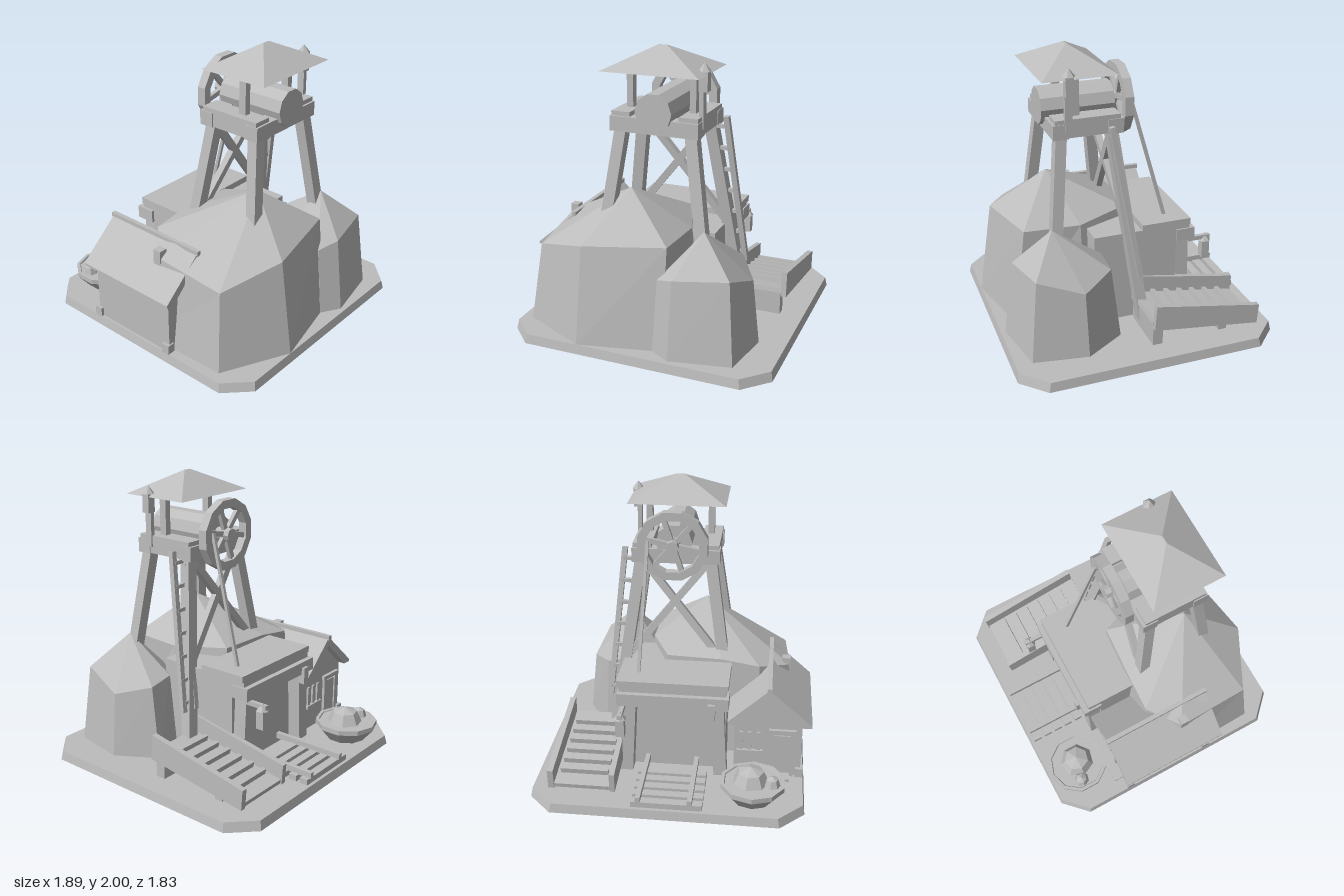
import * as THREE from 'three';

const stone = new THREE.MeshStandardMaterial({ color: 0xbcbcbc, flatShading: true });
stone.name = 'plain grey';

export function createModel() {
  const root = new THREE.Group();
  root.name = 'mineHeadframe';

  function add(name, geo, parent = root) {
    const m = new THREE.Mesh(geo, stone);
    m.name = name;
    parent.add(m);
    return m;
  }
  function group(name) {
    const g = new THREE.Group();
    g.name = name;
    root.add(g);
    return g;
  }
  // Box given by its limits on each axis
  function box(name, x0, x1, y0, y1, z0, z1, parent) {
    const m = add(name, new THREE.BoxGeometry(x1 - x0, y1 - y0, z1 - z0), parent);
    m.position.set((x0 + x1) / 2, (y0 + y1) / 2, (z0 + z1) / 2);
    return m;
  }
  // Timber between two points; its width w stays along x as far as possible
  function beam(name, a, b, w, h = w, parent) {
    const p = new THREE.Vector3(...a), q = new THREE.Vector3(...b);
    const m = add(name, new THREE.BoxGeometry(w, h, p.distanceTo(q)), parent);
    const dir = q.clone().sub(p).normalize();
    const side = new THREE.Vector3(1, 0, 0).addScaledVector(dir, -dir.x).normalize();
    const up = dir.clone().cross(side);
    m.quaternion.setFromRotationMatrix(new THREE.Matrix4().makeBasis(side, up, dir));
    m.position.copy(p).lerp(q, 0.5);
    return m;
  }
  // Walls between two rings (counterclockwise from above), closed by a fan to an apex
  function faceted(name, low, high, apex, floor = false) {
    const v = [], n = low.length;
    for (let i = 0; i < n; i++) {
      const j = (i + 1) % n;
      v.push(...low[i], ...low[j], ...high[j], ...low[i], ...high[j], ...high[i]);
      v.push(...high[i], ...high[j], ...apex);
      if (floor && i > 0 && i < n - 1) v.push(...low[0], ...low[j], ...low[i]);
    }
    const g = new THREE.BufferGeometry();
    g.setAttribute('position', new THREE.Float32BufferAttribute(v, 3));
    g.computeVertexNormals();
    return add(name, g);
  }
  // Outline in x and y, pushed along z
  function extrude(name, points, z, depth, parent) {
    const shape = new THREE.Shape(points.map(p => new THREE.Vector2(...p)));
    const m = add(name, new THREE.ExtrudeGeometry(shape, { depth, bevelEnabled: false }), parent);
    m.position.z = z;
    return m;
  }

  // Base slab with cut corners and a slight taper
  const ring = (e, y) => {
    const x0 = -0.916 + e, x1 = 0.947 - e, z0 = -0.915 + e, z1 = 0.915 - e, c = 0.165;
    return [[x0, y, z0 + c], [x0, y, z1 - c], [x0 + c, y, z1], [x1 - c, y, z1],
      [x1, y, z1 - c], [x1, y, z0 + c], [x1 - c, y, z0], [x0 + c, y, z0]];
  };
  faceted('base', ring(0, 0), ring(0.012, 0.065), [0.015, 0.065, 0], true);

  // Rock mounds
  faceted('largeRock',
    [[-0.83, 0.06, 0.675], [-0.365, 0.06, 0.903], [0.2, 0.06, 0.775], [0.3, 0.06, 0.3],
      [0.12, 0.06, -0.1], [-0.28, 0.06, -0.13], [-0.6, 0.06, -0.14], [-0.85, 0.06, 0.06]],
    [[-0.757, 0.62, 0.622], [-0.357, 0.735, 0.803], [0.205, 0.77, 0.695], [0.225, 0.765, 0.3],
      [0.08, 0.79, -0.065], [-0.3, 0.79, -0.09], [-0.57, 0.75, -0.096], [-0.785, 0.69, 0.08]],
    [-0.157, 1.05, 0.434]);
  faceted('smallRock',
    [[0.137, 0.06, 0.79], [0.275, 0.06, 0.872], [0.692, 0.06, 0.79],
      [0.752, 0.06, 0.415], [0.578, 0.06, 0.135], [0.38, 0.06, 0.145], [0.17, 0.06, 0.4]],
    [[0.152, 0.555, 0.735], [0.282, 0.6, 0.805], [0.645, 0.625, 0.735],
      [0.705, 0.515, 0.425], [0.565, 0.58, 0.2], [0.38, 0.61, 0.205], [0.205, 0.6, 0.42]],
    [0.408, 0.86, 0.557]);
  box('rockStump', -0.79, -0.73, 0.62, 0.74, 0.075, 0.135);

  // Headframe legs, cross braces and open platform frame
  const tower = group('tower');
  for (const s of [-1, 1]) {
    const top = 0.039 + s * 0.243, foot = 0.039 + s * 0.45;
    beam('frontLeg', [foot, 0.06, 0.6], [top, 1.47, 0.45], 0.08, 0.075, tower);
    beam('rearLeg', [foot, 0.06, -0.068], [top, 1.47, 0.102], 0.08, 0.075, tower);
    beam('crossBrace', [0.039 + s * 0.33, 0.75, 0.015], [0.039 - s * 0.23, 1.45, 0.09], 0.05, 0.045, tower);
    const bx = 0.037 + s * 0.235;
    box('drumBearer', bx - 0.065, bx + 0.065, 1.455, 1.58, 0.05, 0.495, tower);
    box('roofPost', 0.032 + s * 0.22 - 0.022, 0.032 + s * 0.22 + 0.022, 1.5, 1.87, 0.312, 0.365, tower);
  }
  for (const z of [0.03, 0.405]) box('platformBeam', -0.27, 0.342, 1.45, 1.55, z, z + 0.105, tower);

  // Hipped roof with a short ridge
  faceted('towerRoof',
    [[-0.303, 1.85, 0.583], [0.372, 1.85, 0.583], [0.372, 1.85, 0.073], [-0.303, 1.85, 0.073]],
    [[0.002, 2, 0.331], [0.062, 2, 0.331], [0.062, 2, 0.325], [0.002, 2, 0.325]], [0.032, 2, 0.328], true);

  // Winding drum, wheel and rope
  const winder = group('winder');
  winder.position.set(0.047, 1.6, 0.002);
  const drum = add('drum', new THREE.CylinderGeometry(0.127, 0.127, 0.505, 10).rotateY(Math.PI / 10), winder);
  drum.rotation.x = Math.PI / 2;
  drum.position.z = 0.282;
  const poly = (Kind, r) => {
    const p = new Kind();
    p.setFromPoints(Array.from({ length: 12 }, (_, i) => {
      const a = (i + 0.5) * Math.PI / 6;
      return new THREE.Vector2(r * Math.cos(a), r * Math.sin(a));
    }));
    p.closePath();
    return p;
  };
  const rimShape = poly(THREE.Shape, 0.247);
  rimShape.holes.push(poly(THREE.Path, 0.188));
  add('wheelRim', new THREE.ExtrudeGeometry(rimShape, { depth: 0.062, bevelEnabled: false }), winder).position.z = -0.062;
  for (let i = 0; i < 3; i++) {
    const spoke = add('wheelSpoke', new THREE.BoxGeometry(0.4, 0.035, 0.03), winder);
    spoke.position.z = -0.03;
    spoke.rotation.z = i * Math.PI / 3 + 0.2;
  }
  const hub = add('wheelHub', new THREE.CylinderGeometry(0.045, 0.045, 0.145, 8), winder);
  hub.rotation.x = Math.PI / 2;
  hub.position.z = -0.013;
  beam('rope', [0.215, 1.64, -0.06], [0.257, 0.72, -0.315], 0.022);

  // Ladder
  const ladder = group('ladder'), foot = [0.505, 0.44, -0.035], head = [0.402, 1.52, 0.137];
  const shift = p => [p[0] - 0.1, p[1], p[2] - 0.015];
  beam('ladderRail', foot, head, 0.038, 0.035, ladder);
  beam('ladderRail', shift(foot), shift(head), 0.038, 0.035, ladder);
  for (let i = 0; i < 7; i++) {
    const t = 0.06 + i * 0.145;
    const p = foot.map((f, k) => f + (head[k] - f) * t);
    const rung = box('ladderRung', -0.05, 0.05, -0.0125, 0.0125, -0.0125, 0.0125, ladder);
    rung.position.set(p[0] - 0.05, p[1], p[2] - 0.008);
  }

  // Lanterns
  function lantern(x, y, z) {
    const g = group('lantern');
    g.position.set(x, y, z);
    box('lanternBody', -0.03, 0.03, 0, 0.13, -0.028, 0.028, g);
    const cap = add('lanternCap', new THREE.ConeGeometry(0.045, 0.055, 6), g);
    cap.position.y = 0.155;
  }
  lantern(0.344, 1.74, 0.402);
  box('lanternPost', 0.318, 0.348, 1.5, 1.75, 0.38, 0.43);
  lantern(0.342, 0.43, -0.583);
  box('lanternArm', 0.327, 0.357, 0.57, 0.6, -0.62, -0.45);

  // Mine entrance
  const mine = group('mineEntrance');
  box('mineBody', -0.36, 0.372, 0.06, 0.725, -0.35, 0.25, mine);
  box('mineRoofSlab', -0.375, 0.387, 0.725, 0.77, -0.45, -0.095, mine);
  box('lintel', -0.38, 0.382, 0.6, 0.69, -0.487, -0.35, mine);
  box('lintelCap', -0.36, 0.372, 0.69, 0.725, -0.45, -0.35, mine);
  box('lintelPeg', -0.29, -0.24, 0.53, 0.65, -0.51, -0.46, mine);
  for (const s of [-1, 1]) beam('entrancePost', [s * 0.33, 0.06, -0.405], [s * 0.3, 0.61, -0.405], 0.09, 0.095, mine);

  // Track
  const track = group('track');
  for (let i = 0; i < 5; i++) box('tie', -0.24, 0.237, 0.06, 0.105, -0.88 + i * 0.088, -0.82 + i * 0.088, track);
  for (const x of [-0.158, 0.187]) box('rail', x - 0.016, x + 0.016, 0.1, 0.142, -0.885, -0.35, track);

  // Sloping chute
  const chute = group('chute');
  for (const [x0, x1] of [[0.355, 0.392], [0.772, 0.812]]) {
    const side = extrude('chuteSide', [[0.783, 0.105], [0.793, 0.245], [0.033, 0.385], [0.02, 0.205]], 0, x1 - x0, chute);
    side.rotation.y = Math.PI / 2;
    side.position.x = x0;
  }
  beam('chuteFloor', [0.582, 0.125, -0.775], [0.582, 0.25, -0.02], 0.4, 0.03, chute);
  for (let i = 0; i < 6; i++) {
    const slat = box('chuteSlat', 0.417, 0.747, -0.025, 0.025, -0.016, 0.016, chute);
    slat.position.set(0.582, 0.172 + i * 0.0165, -0.657 + i * 0.1);
    slat.rotation.x = -0.164;
  }
  box('lowSupport', 0.42, 0.75, 0.06, 0.15, -0.58, -0.52, chute);
  box('highSupport', 0.4, 0.77, 0.06, 0.23, -0.095, -0.025, chute);

  // Ore bowl, filled to the rim
  const ore = group('oreBowl');
  ore.position.set(-0.564, 0.06, -0.672);
  const prof = [[0, 0], [0.14, 0], [0.222, 0.1], [0.222, 0.135], [0.2, 0.135], [0.195, 0.125], [0, 0.125]];
  add('bowl', new THREE.LatheGeometry(prof.map(p => new THREE.Vector2(...p)), 10), ore);
  for (const [x, z, r, h] of [[0.015, 0.005, 0.125, 0.11], [-0.13, -0.03, 0.055, 0.07]]) {
    const lump = add('oreLump', new THREE.SphereGeometry(r, 7, 4), ore);
    lump.scale.y = h / r;
    lump.position.set(x, 0.125, z);
  }

  // Shed with gable walls under an overhanging roof
  const shed = group('shed');
  extrude('shedWalls', [[-0.885, 0.06], [-0.42, 0.06], [-0.42, 0.5], [-0.65, 0.71], [-0.885, 0.5]], -0.39, 0.68, shed);
  extrude('shedRoof', [[-0.948, 0.478], [-0.88, 0.478], [-0.65, 0.69], [-0.43, 0.478], [-0.372, 0.478],
    [-0.372, 0.495], [-0.65, 0.755], [-0.948, 0.495]], -0.443, 0.785, shed);
  box('ridgePole', -0.665, -0.635, 0.735, 0.77, -0.453, 0.352, shed);
  box('door', -0.81, -0.69, 0.06, 0.38, -0.399, -0.39, shed);
  box('doorStep', -0.81, -0.65, 0.06, 0.085, -0.48, -0.39, shed);
  for (const x of [-0.82, -0.68]) box('doorFrame', x - 0.015, x + 0.015, 0.06, 0.4, -0.41, -0.39, shed);
  box('doorHead', -0.845, -0.655, 0.4, 0.43, -0.415, -0.39, shed);
  for (let i = 0; i < 3; i++) box('windowBar', -0.6 + i * 0.06, -0.575 + i * 0.06, 0.26, 0.4, -0.405, -0.39, shed);
  box('windowSill', -0.62, -0.44, 0.235, 0.26, -0.415, -0.39, shed);
  for (const z of [-0.385, 0.27]) box('cornerBlock', -0.905, -0.85, 0.06, 0.13, z - 0.03, z + 0.03, shed);

  return root;
}
